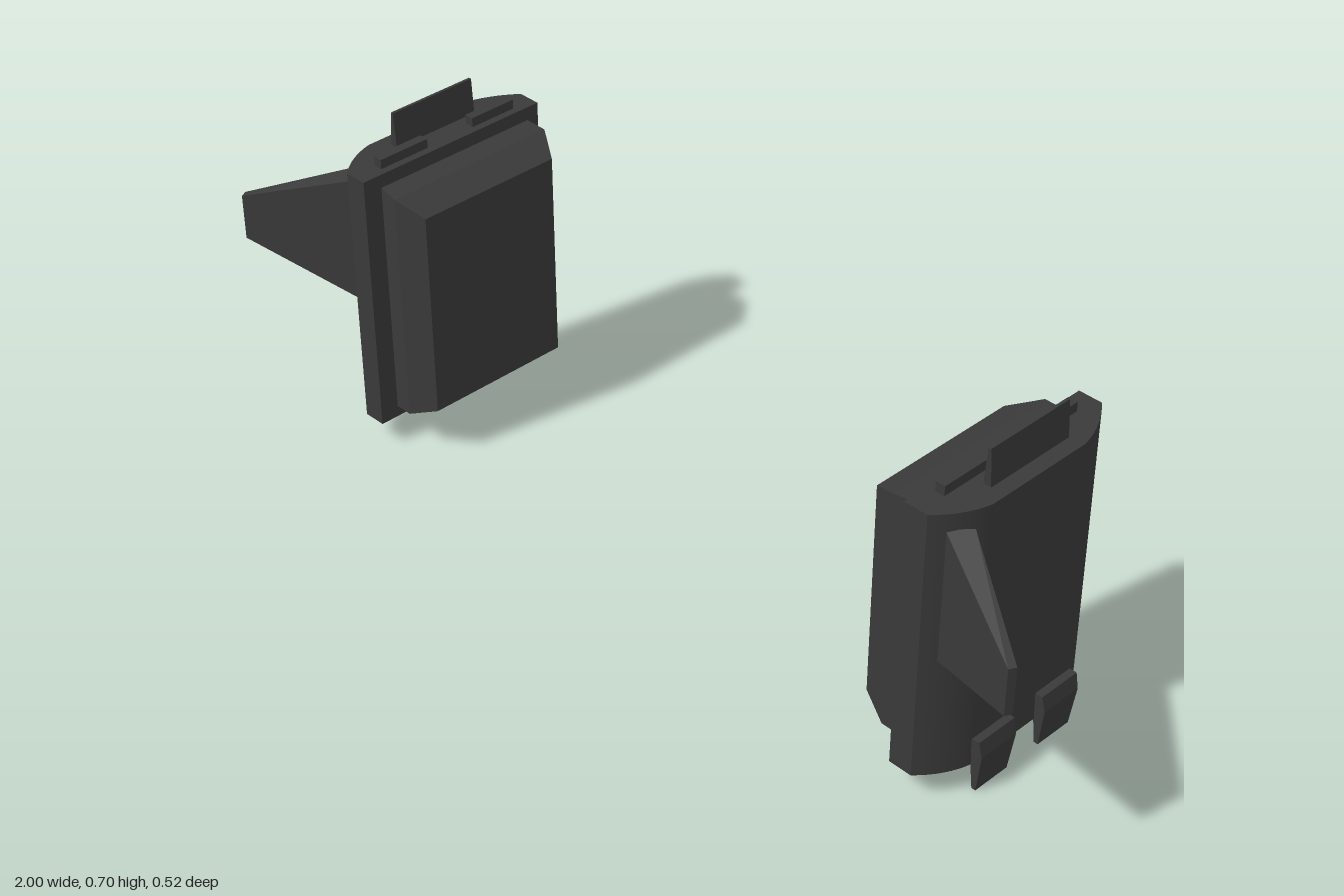
import * as THREE from 'three';
import { toCreasedNormals } from 'three/addons/utils/BufferGeometryUtils.js';
import { ConvexGeometry } from 'three/addons/geometries/ConvexGeometry.js';

const material = new THREE.MeshStandardMaterial({ color: 0x3a3a3a });

// Mirror a geometry in x and turn its triangles back to face outwards
function mirrorX(geometry) {
  const g = geometry.index ? geometry.toNonIndexed() : geometry.clone();
  g.scale(-1, 1, 1);
  for (const { array, itemSize: n } of Object.values(g.attributes)) {
    for (let i = 0; i < array.length; i += 3 * n) {
      for (let k = 0; k < n; k++) {
        const t = array[i + n + k];
        array[i + n + k] = array[i + 2 * n + k];
        array[i + 2 * n + k] = t;
      }
    }
  }
  return g;
}

const hull = (points) => new ConvexGeometry(points.map((p) => new THREE.Vector3(...p)));

// Box given by its limits
function box(x0, x1, y0, y1, z0, z1) {
  return new THREE.BoxGeometry(x1 - x0, y1 - y0, z1 - z0)
    .translate((x0 + x1) / 2, (y0 + y1) / 2, (z0 + z1) / 2);
}

// Four corners of an upright rectangle at x
const rectX = ([x, y0, y1, z0, z1]) => [[x, y0, z0], [x, y1, z0], [x, y1, z1], [x, y0, z1]];

// Four corners of a level rectangle at y
const rectY = (y, x0, x1, z0, z1) => [[x0, y, z0], [x1, y, z0], [x1, y, z1], [x0, y, z1]];

// Upright plate with softly curved outer corners
function shellGeometry() {
  const s = new THREE.Shape();
  s.moveTo(0.695, -0.183);
  s.lineTo(0.745, -0.183);
  s.quadraticCurveTo(0.788, -0.14, 0.8, -0.085);
  s.lineTo(0.8, 0.15);
  s.quadraticCurveTo(0.788, 0.21, 0.745, 0.262);
  s.lineTo(0.695, 0.262);
  s.closePath();
  const g = new THREE.ExtrudeGeometry(s, { depth: 0.57, bevelEnabled: false, curveSegments: 8 });
  g.rotateX(-Math.PI / 2).translate(0, 0.055, 0);
  return toCreasedNormals(g, 0.4);
}

// Bent tab below the shell, tapering downwards
function tabGeometry(zc) {
  const profile = [[0.795, 0.1], [0.8, 0.117], [0.816, 0.117], [0.823, 0.085], [0.812, 0], [0.803, 0]];
  const points = [];
  for (const [x, y] of profile) {
    const half = 0.042 + 0.045 * y;
    points.push([x, y, zc - half], [x, y, zc + half]);
  }
  return hull(points);
}

function sideParts() {
  return {
    shell: shellGeometry(),
    // Bevelled block on the inner face
    innerBlock: hull([
      [0.585, 0.115, 0.567, -0.2, 0.125],
      [0.645, 0.09, 0.595, -0.235, 0.15],
      [0.69, 0.084, 0.6, -0.23, 0.145],
    ].flatMap(rectX)),
    blockMount: box(0.685, 0.7, 0.475, 0.595, -0.2, 0.12),
    // Thin blade and two rails on the top
    topBlade: hull([...rectY(0.61, 0.751, 0.77, -0.145, 0.054), ...rectY(0.7, 0.757, 0.763, -0.145, 0.054)]),
    rearRail: box(0.711, 0.731, 0.615, 0.645, -0.212, -0.105),
    frontRail: box(0.711, 0.731, 0.615, 0.645, 0.01, 0.126),
    // Swept fin reaching outwards and forwards
    fin: hull([
      [0.762, 0.312, 0.156], [0.762, 0.59, 0.156],
      [0.797, 0.31, 0.121], [0.797, 0.592, 0.121],
      [0.993, 0.402, 0.262], [0.993, 0.5, 0.262],
      [1, 0.402, 0.248], [1, 0.5, 0.248],
    ]),
    frontTab: tabGeometry(0.043),
    rearTab: tabGeometry(-0.126),
  };
}

export function createModel() {
  const model = new THREE.Group();
  model.name = 'sidePodPair';
  const parts = sideParts();
  for (const side of ['left', 'right']) {
    const pod = new THREE.Group();
    pod.name = side + 'Pod';
    for (const [name, geometry] of Object.entries(parts)) {
      const mesh = new THREE.Mesh(side === 'left' ? geometry : mirrorX(geometry), material);
      mesh.name = name;
      pod.add(mesh);
    }
    model.add(pod);
  }
  return model;
}
